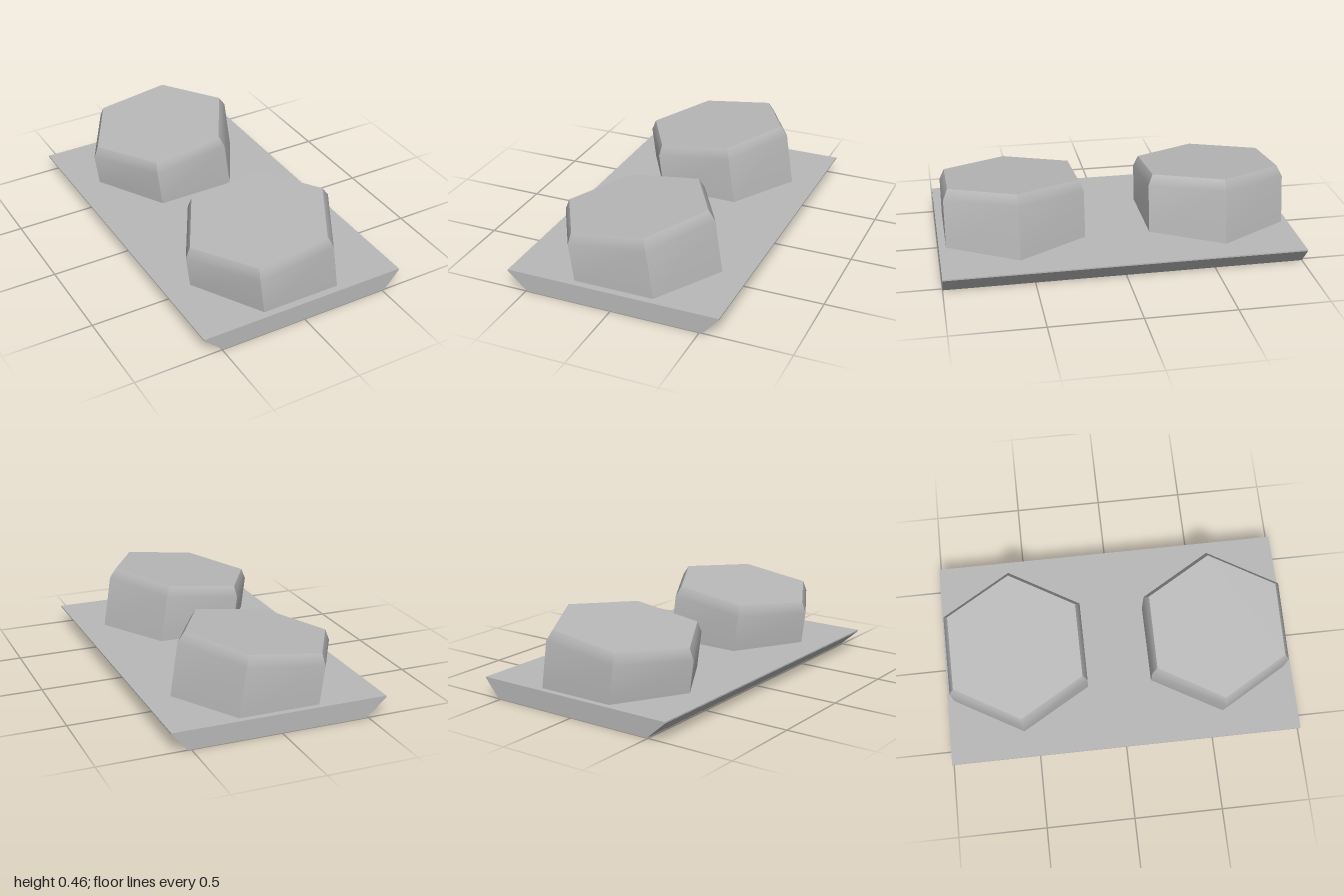
import * as THREE from 'three';

const grey = new THREE.MeshStandardMaterial({ color: 0xb8b8b8 });
grey.name = 'plain grey';

// Hexagon sections of a stud: centre x, centre y, x radius, half depth, rise per unit x
const BASE = [0, 0.108, 0.453, 0.389, 0];
const SHOULDER = [-0.0335, 0.348, 0.4435, 0.389, 0.13];
const TOP = [-0.041, 0.407, 0.411, 0.362, 0.131];

function corner([cx, cy, rx, rz, rise], i) {
  const a = (i * Math.PI) / 3;
  const dx = rx * Math.cos(a);
  return [cx + dx, cy + rise * dx, (rz * Math.sin(a)) / Math.sin(Math.PI / 3)];
}

// Leaning six-sided stud: each side is a wall blending softly into its bevel, the caps are flat
function studGeometry() {
  const positions = [];
  const index = [];
  const add = (p) => positions.push(...p) / 3 - 1;
  for (let i = 0; i < 6; i++) {
    const v = [];
    for (const ring of [BASE, SHOULDER, TOP]) {
      v.push(add(corner(ring, i)), add(corner(ring, i + 1)));
    }
    for (const k of [0, 2]) {
      index.push(v[k], v[k + 2], v[k + 1], v[k + 1], v[k + 2], v[k + 3]);
    }
  }
  for (const [ring, up] of [[TOP, true], [BASE, false]]) {
    const v = [];
    for (let i = 0; i < 6; i++) v.push(add(corner(ring, i)));
    for (let i = 1; i < 5; i++) {
      index.push(v[0], up ? v[i + 1] : v[i], up ? v[i] : v[i + 1]);
    }
  }
  const geometry = new THREE.BufferGeometry();
  geometry.setAttribute('position', new THREE.Float32BufferAttribute(positions, 3));
  geometry.setIndex(index);
  geometry.computeVertexNormals();
  return geometry;
}

export function createModel() {
  const model = new THREE.Group();
  model.name = 'twoStudPlate';

  // Base plate with undercut long sides
  const profile = new THREE.Shape([
    [-0.492, 0], [0.517, 0], [0.605, 0.1], [0.605, 0.108], [-0.605, 0.108], [-0.605, 0.1],
  ].map(([x, y]) => new THREE.Vector2(x, y)));
  const plateGeometry = new THREE.ExtrudeGeometry(profile, { depth: 2, bevelEnabled: false });
  plateGeometry.translate(0, 0, -1);
  const plate = new THREE.Mesh(plateGeometry, grey);
  plate.name = 'basePlate';
  model.add(plate);

  // Front and back studs
  const geometry = studGeometry();
  for (const [name, z] of [['frontStud', 0.57], ['backStud', -0.576]]) {
    const stud = new THREE.Mesh(geometry, grey);
    stud.name = name;
    stud.position.z = z;
    model.add(stud);
  }
  return model;
}
